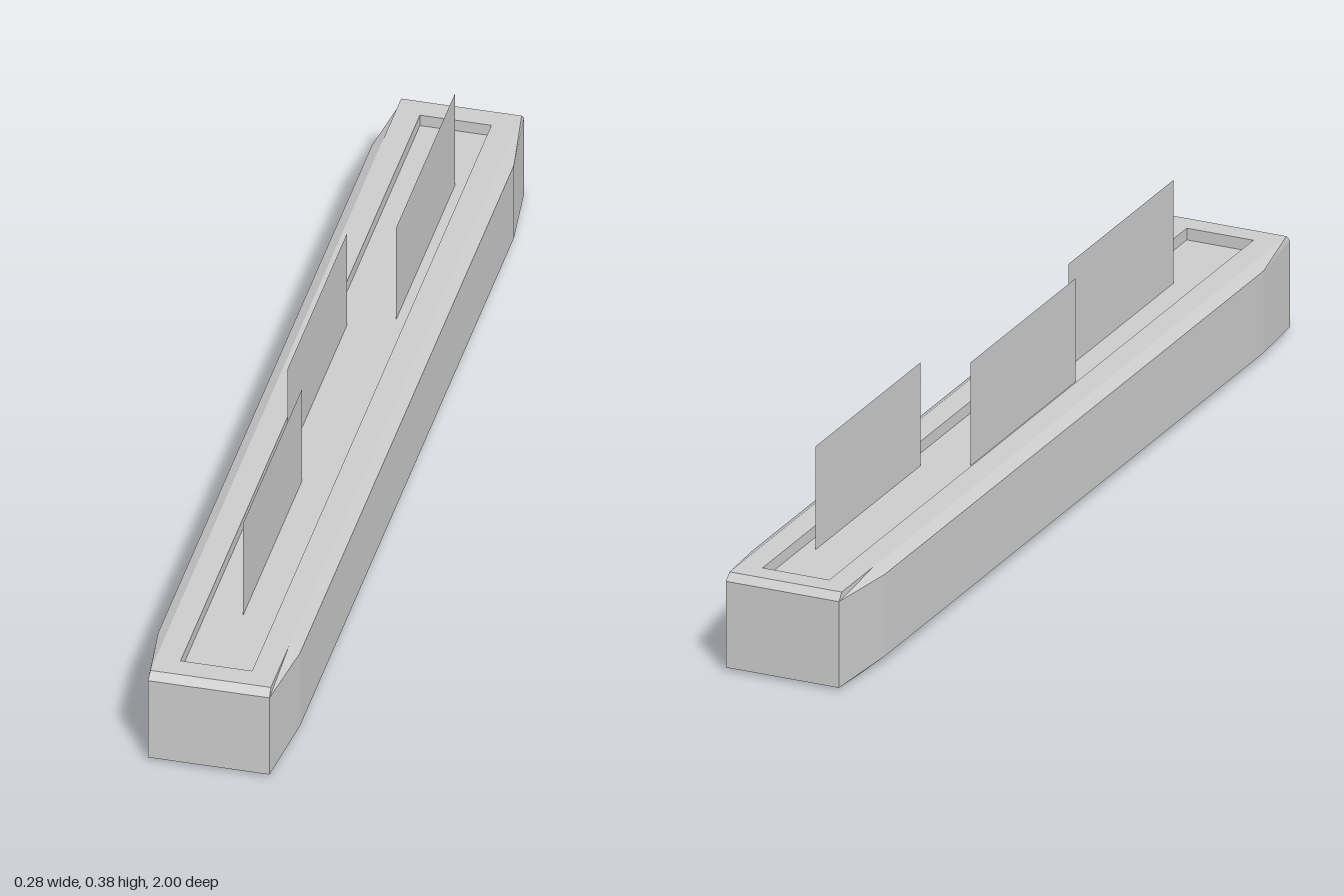
import * as THREE from 'three';

const material = new THREE.MeshStandardMaterial({ color: 0xcccccc, flatShading: true, side: THREE.DoubleSide });

// Flat-shaded mesh from a list of four-cornered faces
function quadMesh(name, quads) {
  const positions = [];
  for (const [a, b, c, d] of quads) positions.push(...a, ...b, ...c, ...a, ...c, ...d);
  const geometry = new THREE.BufferGeometry();
  geometry.setAttribute('position', new THREE.Float32BufferAttribute(positions, 3));
  geometry.computeVertexNormals();
  const mesh = new THREE.Mesh(geometry, material);
  mesh.name = name;
  return mesh;
}

// Mirror a half section (bottom to top on +x) into a closed ring
function ring(half, zSign) {
  const right = half.map(([x, y, z]) => [x, y, z * zSign]);
  const left = right.map(([x, y, z]) => [-x, y, z]).reverse();
  return [...right, ...left];
}

// Four corners of a horizontal rectangle, counter-clockwise from above
const rect = (x, y, z) => [[x, y, z], [x, y, -z], [-x, y, -z], [-x, y, z]];

export function createModel() {
  const group = new THREE.Group();
  group.name = 'planter';

  // Trough shell: bevelled sides that taper at both ends
  const middle = [[0.118, 0, 0.92], [0.139, 0.015, 0.84], [0.139, 0.183, 0.84], [0.118, 0.197, 0.84]];
  const end = [[0.119, 0.006, 1], [0.119, 0.006, 1], [0.119, 0.183, 1], [0.118, 0.197, 0.985]];
  const rings = [ring(end, 1), ring(middle, 1), ring(middle, -1), ring(end, -1)];
  const shell = [];
  for (let k = 0; k < 3; k++) {
    for (let i = 0; i < 8; i++) {
      if (i === 3) continue; // the top is the open rim
      const j = (i + 1) % 8;
      shell.push([rings[k][i], rings[k + 1][i], rings[k + 1][j], rings[k][j]]);
    }
  }
  // End faces with their sloping top bevels
  for (const [r, flip] of [[rings[0], false], [rings[3], true]]) {
    for (const face of [[6, 1, 2, 5], [5, 2, 3, 4]]) {
      const quad = face.map((i) => r[i]);
      shell.push(flip ? quad.reverse() : quad);
    }
  }
  group.add(quadMesh('trough', shell));

  // Rim around the opening and the short inner walls
  const floorY = 0.173;
  const outer = rect(0.118, 0.197, 0.985);
  const inner = rect(0.07, 0.197, 0.94);
  const floor = rect(0.07, floorY, 0.94);
  const rim = [];
  const walls = [];
  for (let i = 0; i < 4; i++) {
    const j = (i + 1) % 4;
    rim.push([outer[i], outer[j], inner[j], inner[i]]);
    walls.push([inner[i], inner[j], floor[j], floor[i]]);
  }
  group.add(quadMesh('rim', rim), quadMesh('innerWalls', walls), quadMesh('soil', [floor]));

  // Upright plant cards, staggered across the soil
  const height = 0.385 - floorY;
  [[0, 0.5], [-0.043, -0.025], [0.043, -0.53]].forEach(([x, z], i) => {
    const card = new THREE.Mesh(new THREE.PlaneGeometry(0.465, height), material);
    card.name = `plantCard${i + 1}`;
    card.rotation.y = Math.PI / 2;
    card.position.set(x, floorY + height / 2, z);
    group.add(card);
  });

  return group;
}
